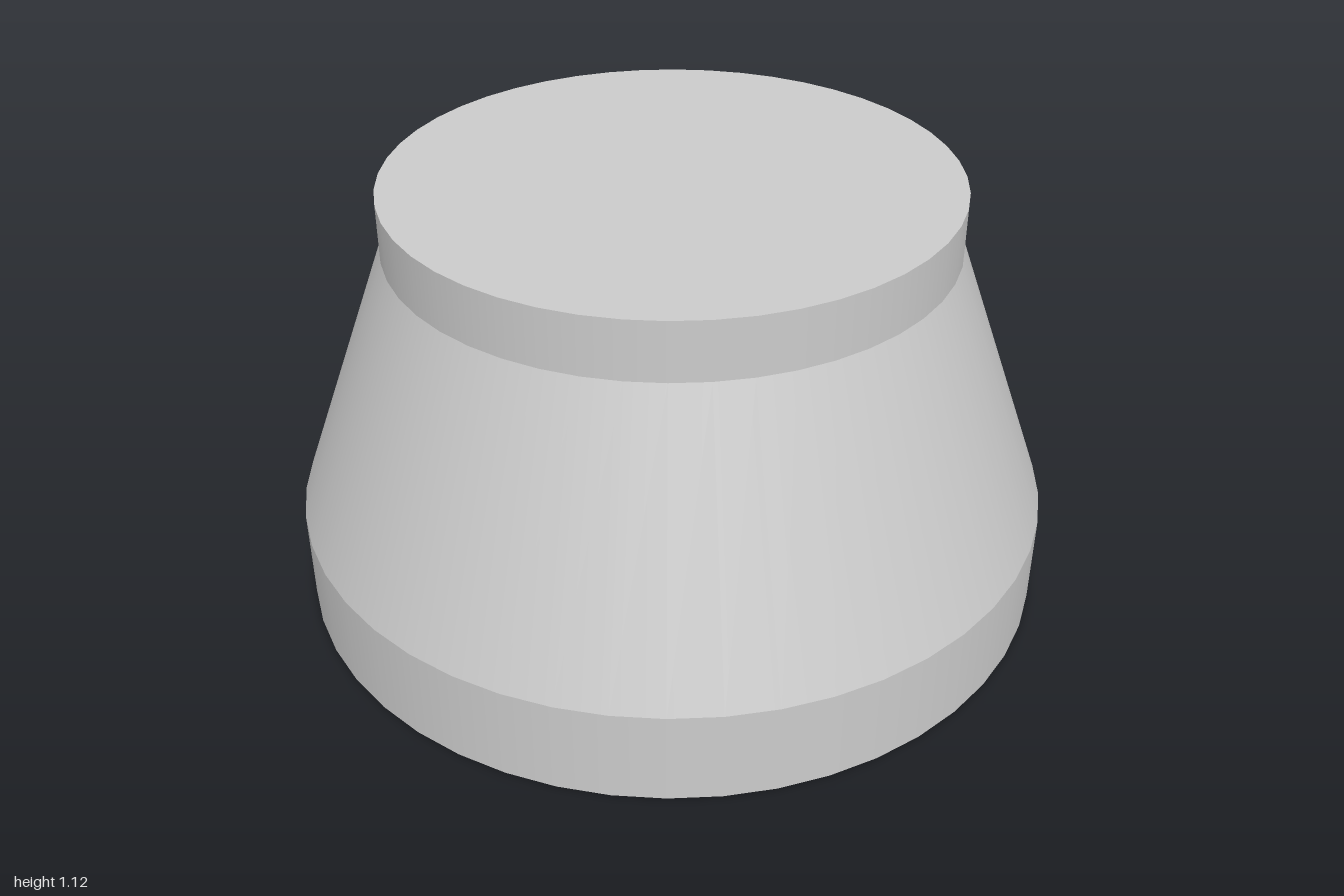
import * as THREE from 'three';

const SIDES = 48;

export function createModel() {
  const model = new THREE.Group();
  model.name = 'taperedPedestal';
  const material = new THREE.MeshStandardMaterial({ color: 0xcccccc });

  // Round section between two heights, smooth around and crisp at the seams
  function addSection(name, bottomRadius, topRadius, bottomY, topY) {
    const height = topY - bottomY;
    const geometry = new THREE.CylinderGeometry(topRadius, bottomRadius, height, SIDES, 1, true);
    const mesh = new THREE.Mesh(geometry, material);
    mesh.name = name;
    mesh.position.y = bottomY + height / 2;
    model.add(mesh);
  }

  // Flat disc closing an end, facing up or down
  function addCap(name, radius, y, facing) {
    const mesh = new THREE.Mesh(new THREE.CircleGeometry(radius, SIDES), material);
    mesh.name = name;
    mesh.rotation.x = -facing * Math.PI / 2;
    mesh.position.y = y;
    model.add(mesh);
  }

  addCap('underside', 1, 0, -1);
  addSection('baseBand', 1, 1, 0, 0.25);
  addSection('taperedBody', 1, 0.735, 0.25, 0.97);
  addSection('topCollar', 0.735, 0.735, 0.97, 1.123);
  addCap('topFace', 0.735, 1.123, 1);

  return model;
}
